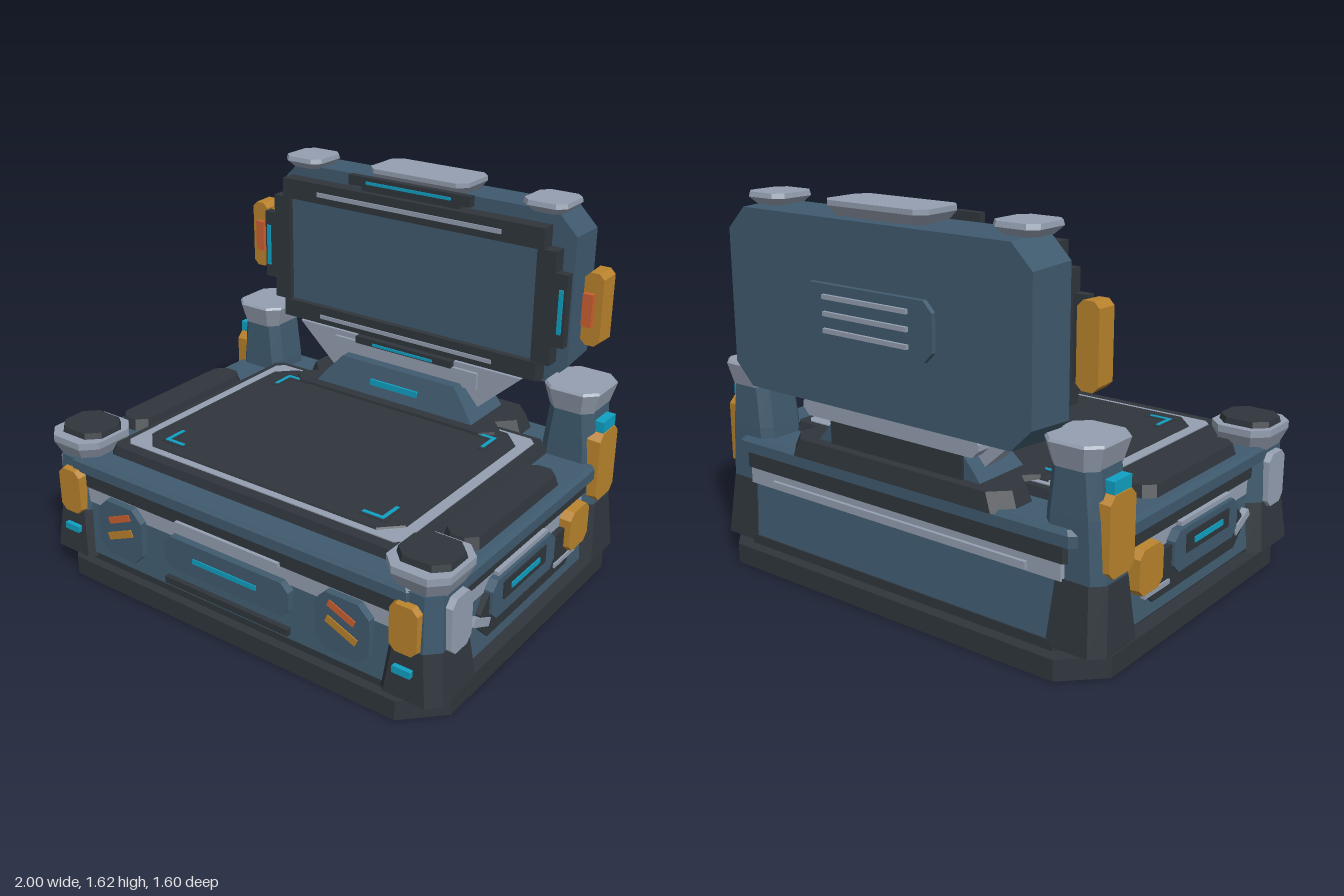
import * as THREE from 'three';

const paint = (name, color) => { const m = new THREE.MeshStandardMaterial({ color }); m.name = name; return m; };
const blue = paint('steel blue', 0x3f5a6e), dark = paint('charcoal', 0x2f363c), silver = paint('silver', 0x949fb0);
const orange = paint('amber', 0xb9832c), cyan = paint('cyan', 0x10a0c2), red = paint('red orange', 0xcb6030);

// Octagonal solid through levels [y, halfWidth, halfDepth, cornerCut]
function octLoft(levels) {
  const rings = levels.map(([y, w, d, c]) => [
    [w, d - c], [w - c, d], [c - w, d], [-w, d - c], [-w, c - d], [c - w, -d], [w - c, -d], [w, c - d],
  ].map(([x, z]) => [x, y, -z]));
  const pos = [], tri = (...p) => p.forEach((q) => pos.push(...q));
  for (let k = 0; k + 1 < rings.length; k++) {
    const a = rings[k], b = rings[k + 1];
    for (let i = 0; i < 8; i++) {
      const j = (i + 1) % 8;
      tri(a[i], a[j], b[j]);
      tri(a[i], b[j], b[i]);
    }
  }
  const lo = rings[0], hi = rings[rings.length - 1];
  for (let i = 1; i < 7; i++) { tri(hi[0], hi[i], hi[i + 1]); tri(lo[0], lo[i + 1], lo[i]); }
  const g = new THREE.BufferGeometry();
  g.setAttribute('position', new THREE.Float32BufferAttribute(pos, 3));
  g.computeVertexNormals();
  return g;
}

export function createModel() {
  const root = new THREE.Group();
  root.name = 'displayConsole';
  const add = (name, mat, geo, x = 0, y = 0, z = 0) => {
    const m = new THREE.Mesh(geo, mat);
    m.name = name;
    m.position.set(x, y, z);
    root.add(m);
    return m;
  };
  // Box between two corners
  const box = (name, mat, x0, x1, y0, y1, z0, z1) =>
    add(name, mat, new THREE.BoxGeometry(x1 - x0, y1 - y0, z1 - z0), (x0 + x1) / 2, (y0 + y1) / 2, (z0 + z1) / 2);
  // Upright octagonal solid
  const solid = (name, mat, x, z, ...levels) => add(name, mat, octLoft(levels), x, 0, z);
  // Cut-corner plate facing front or back (dir = 1 or -1), z from..to
  const facePlate = (name, mat, dir, x, y, w, h, cut, from, to, bevel = 0) => {
    const g = octLoft([[dir * from, w / 2, h / 2, cut], [dir * to, w / 2 - bevel, h / 2 - bevel, cut]]);
    return add(name, mat, g.rotateX(dir * Math.PI / 2), x, y, 0);
  };
  // Cut-corner plate facing sideways on side s, |x| from..to
  const sidePlate = (name, mat, s, z, y, w, h, cut, from, to, bevel = 0) => {
    const g = octLoft([[from, h / 2, w / 2, cut], [to, h / 2 - bevel, w / 2 - bevel, cut]]);
    return add(name, mat, g.rotateZ(-s * Math.PI / 2), 0, y, z);
  };

  // Stepped base and body
  solid('plinth', dark, 0, 0.025, [0, 0.98, 0.775, 0.15], [0.085, 0.98, 0.775, 0.15]);
  solid('plinthStep', dark, 0, 0.03, [0.085, 0.92, 0.73, 0.13], [0.125, 0.92, 0.73, 0.13]);
  solid('lowerBody', blue, 0, 0.035, [0.12, 0.95, 0.73, 0.12], [0.35, 0.92, 0.705, 0.12]);
  solid('silverBand', silver, 0, 0.035, [0.35, 0.925, 0.71, 0.12], [0.42, 0.925, 0.71, 0.12]);
  solid('shadowBand', dark, 0, 0.035, [0.42, 0.935, 0.715, 0.12], [0.5, 0.935, 0.715, 0.12]);
  solid('deck', blue, 0, 0.037, [0.49, 0.965, 0.727, 0.12], [0.535, 0.965, 0.727, 0.12], [0.553, 0.95, 0.712, 0.12]);

  // Work surface with inlaid ring and glowing corner brackets
  solid('surfaceFrame', dark, 0, 0.08, [0.55, 0.75, 0.57, 0.03], [0.592, 0.73, 0.56, 0.03]);
  solid('surfaceRing', silver, 0, 0.07, [0.58, 0.7, 0.52, 0.03], [0.596, 0.7, 0.52, 0.03]);
  solid('surfacePad', dark, 0, 0.065, [0.58, 0.66, 0.5, 0.08], [0.603, 0.65, 0.49, 0.08]);
  for (const s of [1, -1]) {
    for (const [z, d] of [[-0.34, 1], [0.485, -1]]) {
      const bar = (name, mat, y, t, len) => {
        const o = t / 2;
        box(name, mat, s * 0.51 - len / 2, s * 0.51 + len / 2, 0.6, y, z - o, z + o);
        box(name, mat, s * 0.553 - o, s * 0.553 + o, 0.6, y, z + d * 0.05 - len / 2, z + d * 0.05 + len / 2);
      };
      bar('bracketBacking', dark, 0.606, 0.036, 0.13);
      bar('bracketLight', cyan, 0.609, 0.016, 0.1);
    }
    solid('sideRail', dark, s * 0.84, 0.085, [0.55, 0.08, 0.35, 0.04], [0.6, 0.07, 0.335, 0.04]);
  }

  for (const s of [1, -1]) {
    // Front corner posts
    const fx = s * 0.86;
    solid('frontFoot', dark, fx, 0.63, [0.1, 0.14, 0.16, 0.05], [0.31, 0.115, 0.14, 0.05]);
    solid('frontPost', blue, fx, 0.63, [0.3, 0.115, 0.138, 0.05], [0.54, 0.105, 0.125, 0.05]);
    solid('frontCap', silver, fx, 0.63, [0.53, 0.105, 0.113, 0.05], [0.6, 0.135, 0.145, 0.06], [0.63, 0.135, 0.145, 0.06]);
    solid('frontCapPad', dark, fx, 0.625, [0.63, 0.115, 0.105, 0.05], [0.655, 0.11, 0.1, 0.05]);
    facePlate('frontPostGuard', orange, 1, s * 0.85, 0.395, 0.13, 0.21, 0.025, 0.74, 0.788, 0.005);
    facePlate('frontFootLight', cyan, 1, s * 0.85, 0.22, 0.08, 0.03, 0.002, 0.76, 0.797);
    sidePlate('frontPostSidePlate', silver, s, 0.625, 0.4, 0.15, 0.24, 0.03, 0.93, 0.995, 0.005);

    // Rear corner posts
    const rx = s * 0.83;
    solid('rearFoot', dark, s * 0.85, -0.555, [0.1, 0.14, 0.145, 0.05], [0.36, 0.12, 0.115, 0.05]);
    solid('rearPost', blue, rx, -0.555, [0.35, 0.135, 0.11, 0.04], [0.6, 0.12, 0.11, 0.04], [0.79, 0.1, 0.105, 0.04]);
    solid('rearCap', silver, rx, -0.555, [0.775, 0.1, 0.115, 0.04], [0.865, 0.125, 0.137, 0.05], [0.875, 0.12, 0.13, 0.05]);
    sidePlate('rearPostGuard', orange, s, -0.548, 0.535, 0.175, 0.32, 0.03, 0.92, 0.978, 0.005);
    sidePlate('rearPostLight', cyan, s, -0.548, 0.717, 0.11, 0.05, 0.002, 0.9, 0.975);

    // Side wall details
    sidePlate('sideRecess', dark, s, 0.035, 0.258, 0.76, 0.185, 0.06, 0.9, 0.95);
    sidePlate('sidePanel', blue, s, 0.1, 0.312, 0.505, 0.175, 0.035, 0.9, 0.962, 0.004);
    sidePlate('sideInset', dark, s, 0.103, 0.33, 0.335, 0.08, 0.004, 0.95, 0.967);
    sidePlate('sideLight', cyan, s, 0.103, 0.328, 0.225, 0.025, 0.002, 0.96, 0.971);
    sidePlate('sideTrim', silver, s, 0.105, 0.415, 0.39, 0.02, 0.002, 0.9, 0.955);
    sidePlate('sideGuard', orange, s, -0.337, 0.325, 0.175, 0.19, 0.03, 0.9, 0.975, 0.005);
    sidePlate('sideLowerTrim', silver, s, -0.26, 0.21, 0.18, 0.02, 0.002, 0.9, 0.957);
    sidePlate('sideSlantTrim', silver, s, 0.41, 0.26, 0.13, 0.035, 0.002, 0.9, 0.957).rotation.x = -0.45;

    // Front side panels with slanted marks
    facePlate('frontSidePanel', blue, 1, s * 0.573, 0.285, 0.255, 0.26, 0.05, 0.7, 0.775, 0.004);
    facePlate('redMark', red, 1, s * 0.572, 0.347, 0.13, 0.03, 0.002, 0.77, 0.779).rotation.z = -s * 0.4;
    facePlate('amberMark', orange, 1, s * 0.572, 0.272, 0.15, 0.033, 0.002, 0.77, 0.779).rotation.z = -s * 0.4;
  }

  // Front centre
  facePlate('frontPanel', blue, 1, 0, 0.292, 0.65, 0.155, 0.035, 0.7, 0.775, 0.004);
  facePlate('frontLight', cyan, 1, 0, 0.295, 0.33, 0.022, 0.002, 0.77, 0.78);
  box('frontTrim', silver, -0.265, 0.265, 0.415, 0.437, 0.7, 0.765);
  box('frontLowerBar', dark, -0.32, 0.32, 0.14, 0.17, 0.7, 0.782);
  // Back trim
  box('backLowerTrim', silver, -0.66, 0.66, 0.36, 0.39, -0.69, -0.65);

  // Neck carrying the screen
  solid('neckPlate', dark, 0, -0.4, [0.55, 0.55, 0.08, 0.05], [0.615, 0.53, 0.07, 0.05]);
  solid('rearPlatform', dark, 0, -0.58, [0.54, 0.58, 0.12, 0.07], [0.615, 0.55, 0.11, 0.07]);
  const wedge = new THREE.Shape([[-0.42, 0.61], [0.42, 0.61], [0.38, 0.66], [0.3, 0.75], [-0.3, 0.75], [-0.38, 0.66]].map((p) => new THREE.Vector2(...p)));
  const wedgeGeo = new THREE.ExtrudeGeometry(wedge, { depth: 0.24, bevelEnabled: false });
  const wp = wedgeGeo.attributes.position;
  for (let i = 0; i < wp.count; i++) if (wp.getZ(i) > 0.1) wp.setZ(i, 0.265 - (wp.getY(i) - 0.61) * 0.3);
  wedgeGeo.computeVertexNormals();
  add('neckWedge', blue, wedgeGeo, 0, 0, -0.64);
  facePlate('neckLight', cyan, 1, 0, 0.673, 0.25, 0.028, 0.002, -0.42, -0.388).rotation.x = 0;
  const wings = new THREE.Shape([[-0.38, 0.65], [0.38, 0.65], [0.59, 0.84], [-0.59, 0.84]].map((p) => new THREE.Vector2(...p)));
  add('neckWings', silver, new THREE.ExtrudeGeometry(wings, { depth: 0.09, bevelEnabled: false }), 0, 0, -0.57);
  box('neckBar', silver, -0.38, 0.38, 0.735, 0.815, -0.5, -0.465);
  box('neckCore', dark, -0.34, 0.34, 0.61, 0.83, -0.65, -0.55);
  facePlate('neckBackBar', silver, -1, 0, 0.772, 0.9, 0.085, 0.03, -0.63, -0.69);
  box('neckLightBacking', dark, -0.255, 0.255, 0.812, 0.845, -0.5, -0.455);
  box('neckUpperLight', cyan, -0.16, 0.16, 0.818, 0.83, -0.456, -0.45);

  // Screen housing and bezel
  facePlate('screenHousing', blue, -1, 0, 1.19, 1.51, 0.745, 0.09, -0.565, -0.77, 0.01);
  box('bezelMount', dark, -0.58, 0.58, 0.9, 1.42, -0.57, -0.51);
  box('screenPanel', blue, -0.64, 0.64, 0.93, 1.44, -0.52, -0.485);
  box('bezelTop', dark, -0.665, 0.665, 1.43, 1.52, -0.525, -0.455);
  box('bezelBottom', dark, -0.665, 0.665, 0.86, 0.942, -0.525, -0.455);
  box('bezelTopTrim', silver, -0.47, 0.47, 1.462, 1.482, -0.456, -0.449);
  box('bezelBottomTrim', silver, -0.455, 0.455, 0.886, 0.904, -0.456, -0.449);
  box('topBar', dark, -0.31, 0.31, 1.54, 1.585, -0.505, -0.473);
  box('topBarMount', dark, -0.25, 0.25, 1.51, 1.55, -0.57, -0.485);
  box('topBarLight', cyan, -0.215, 0.215, 1.555, 1.568, -0.474, -0.468);
  solid('topCap', silver, 0, -0.635, [1.555, 0.22, 0.09, 0.03], [1.595, 0.25, 0.117, 0.04], [1.615, 0.25, 0.117, 0.04]);

  for (const s of [1, -1]) {
    box('bezelSide', dark, s * 0.678 - 0.043, s * 0.678 + 0.043, 0.94, 1.432, -0.525, -0.46);
    box('bezelClasp', dark, s * 0.6 - 0.05, s * 0.6 + 0.05, 0.83, 0.96, -0.57, -0.52);
    box('sideStrip', dark, s * 0.75 - 0.028, s * 0.75 + 0.028, 1.03, 1.345, -0.5, -0.46);
    box('sideStripLight', cyan, s * 0.756 - 0.009, s * 0.756 + 0.009, 1.09, 1.28, -0.461, -0.452);
    facePlate('screenGuard', orange, 1, s * 0.863, 1.2, 0.09, 0.315, 0.022, -0.62, -0.525, 0.003);
    box('screenGuardLight', red, s * 0.85 - 0.022, s * 0.85 + 0.022, 1.13, 1.27, -0.53, -0.502);
    solid('cornerCap', silver, s * 0.613, -0.615, [1.555, 0.07, 0.075, 0.025], [1.585, 0.1, 0.105, 0.035], [1.605, 0.097, 0.1, 0.035]);
  }

  // Rear vent
  facePlate('ventPlate', blue, -1, 0, 1.195, 0.65, 0.23, 0.04, -0.76, -0.787, 0.003);
  for (const y of [1.13, 1.195, 1.26]) box('ventSlat', silver, -0.21, 0.21, y - 0.009, y + 0.009, -0.8, -0.78);
  return root;
}
